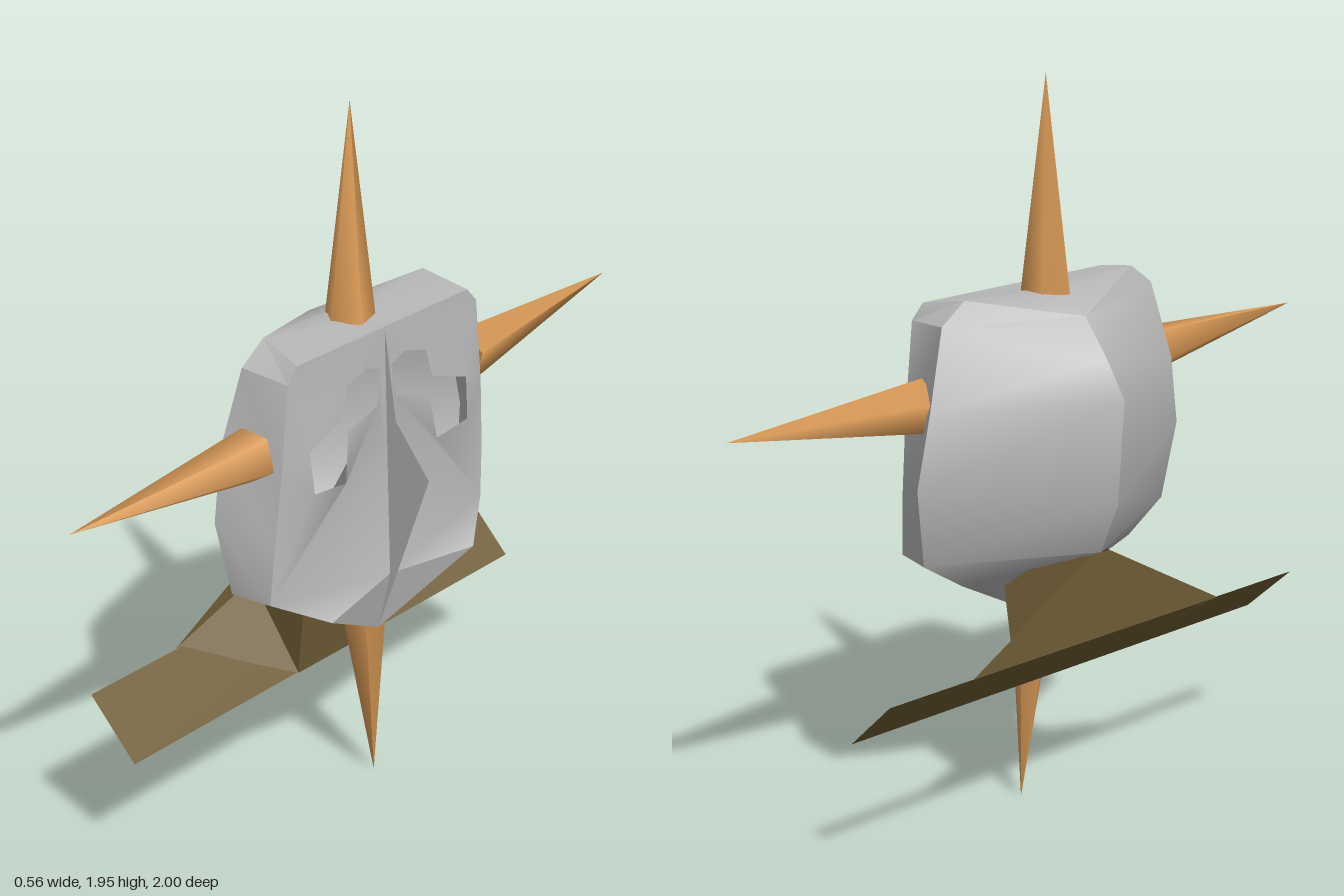
import * as THREE from 'three';
import { toCreasedNormals } from 'three/addons/utils/BufferGeometryUtils.js';

const material = (name, color) => {
  const m = new THREE.MeshStandardMaterial({ color, side: THREE.DoubleSide });
  m.name = name;
  return m;
};

// depth of the mask front at a given half width z and height y
function faceX(z, y) {
  const t = (1.4 - y) / 0.7;
  return 0.125 + 0.075 * t
    - 0.09 * t * Math.max(0, (z - 0.27) / 0.13)
    - 0.05 * t * Math.max(0, 1 - z / 0.27);
}

// surface from polygons, each a list of [x, y, z] corners fanned from the first
function fromPolygons(polygons) {
  const points = [];
  for (const p of polygons) {
    for (let i = 1; i < p.length - 1; i++) points.push(...p[0], ...p[i], ...p[i + 1]);
  }
  const g = new THREE.BufferGeometry();
  g.setAttribute('position', new THREE.Float32BufferAttribute(points, 3));
  g.computeVertexNormals();
  return g;
}

const points2 = (list) => list.map(([a, b]) => new THREE.Vector2(a, b));

// rows from crown to jaw: back ridge, widest side, front rim [z, y]
const ROWS = [
  [[-0.03, 1.40, 0], [0.04, 1.40, 0], [0, 1.40]],
  [[-0.14, 1.36, 0], [-0.01, 1.425, 0.29], [0.31, 1.40]],
  [[-0.22, 1.26, 0], [-0.01, 1.37, 0.365], [0.345, 1.36]],
  [[-0.28, 1.17, 0], [-0.03, 1.16, 0.425], [0.37, 1.12]],
  [[-0.26, 0.89, 0], [-0.02, 0.97, 0.46], [0.39, 0.92]],
  [[-0.20, 0.75, 0], [0.00, 0.76, 0.425], [0.40, 0.76]],
  [[-0.10, 0.71, 0], [0.00, 0.68, 0.30], [0.27, 0.69]],
];
const CHIN = [0.11, 0.52, 0];
const EYE = [[0.29, 1.165], [0.165, 1.21], [0.145, 1.29], [0.07, 1.31], [0.02, 1.29],
  [0.035, 1.195], [0.15, 1.17], [0.17, 1.035], [0.285, 1.05]];

// one half of the hollow shell behind the face
function shellHalf() {
  const rows = ROWS.map(([k, s, [z, y]]) => [k, s, [faceX(z, y), y, z]]);
  rows.push([[-0.02, 0.57, 0], [0.04, 0.55, 0], CHIN]);
  const quads = [];
  for (let i = 0; i < rows.length - 1; i++) {
    for (let j = 0; j < 2; j++) {
      quads.push([rows[i][j], rows[i + 1][j], rows[i + 1][j + 1], rows[i][j + 1]]);
    }
  }
  return toCreasedNormals(fromPolygons(quads), 0.7);
}

// one half of the face, with its angular eye opening
function faceHalf() {
  const rim = ROWS.map((r) => r[2]);
  const shape = new THREE.Shape(points2([...rim, [0, 0.70], [0, 1.05]].map(([z, y]) => [-z, y])));
  shape.holes.push(new THREE.Path(points2(EYE.map(([z, y]) => [-z, y]))));
  const g = new THREE.ShapeGeometry(shape);
  const p = g.attributes.position;
  for (let i = 0; i < p.count; i++) {
    const z = -p.getX(i), y = p.getY(i);
    p.setXYZ(i, faceX(z, y), y, z);
  }
  g.computeVertexNormals();
  return g;
}

export function createModel() {
  const model = new THREE.Group();
  const grey = material('mask grey', 0xb8b8b8);
  const orange = material('spike orange', 0xd99a55);
  const brown = material('collar brown', 0x6e5c35);

  const add = (name, geometry, mat) => {
    const mesh = new THREE.Mesh(geometry, mat);
    mesh.name = name;
    model.add(mesh);
    return mesh;
  };

  // mask, mirrored about z = 0
  const jaw = fromPolygons([[[faceX(0, 0.70), 0.70, 0], [faceX(0.27, 0.69), 0.69, 0.27], CHIN]]);
  for (const side of [1, -1]) {
    const tag = side > 0 ? 'Front' : 'Back';
    add('shell' + tag, shellHalf(), grey).scale.z = side;
    add('face' + tag, faceHalf(), grey).scale.z = side;
    add('jaw' + tag, jaw, grey).scale.z = side;
  }

  // thin nose ridge down the middle of the face
  const ridge = new THREE.Shape(points2([[0.125, 1.40], [0.11, 1.0], [0.11, 0.52],
    [0.28, 1.02], [0.165, 1.15]]));
  add('noseRidge', new THREE.ShapeGeometry(ridge), grey);

  // five-sided spikes: base centre, tip, radius
  const spikes = {
    topSpike: [[0.015, 1.39, 0.012], [-0.005, 1.96, -0.01], 0.068],
    bottomSpike: [[0.052, 0.59, 0], [0.045, 0.01, -0.055], 0.065],
    frontSpike: [[0.052, 1.162, 0.39], [0.068, 1.195, 1.0], 0.073],
    backSpike: [[0.045, 1.162, -0.39], [0.028, 1.195, -1.0], 0.073],
  };
  for (const [name, [base, tip, radius]] of Object.entries(spikes)) {
    const a = new THREE.Vector3(...base), b = new THREE.Vector3(...tip);
    const axis = b.clone().sub(a);
    const mesh = add(name, new THREE.ConeGeometry(radius, axis.length(), 5), orange);
    mesh.position.copy(a).add(b).multiplyScalar(0.5);
    mesh.quaternion.setFromUnitVectors(new THREE.Vector3(0, 1, 0), axis.normalize());
  }

  // slanted shoulder strip
  add('shoulderStrip', fromPolygons([
    [[-0.20, 0.52, -0.71], [-0.195, 0.52, 0.74], [-0.04, 0.38, 0.74], [-0.05, 0.38, -0.71]],
  ]), brown);

  // neck: front wall, flared sides and back
  const side = (s) => [[-0.20, 0.61, 0.16 * s], [-0.20, 0.52, 0.44 * s], [-0.04, 0.38, 0.15 * s],
    [0, 0.69, 0.16 * s], [-0.20, 0.75, 0.03 * s]];
  add('neck', fromPolygons([
    [[-0.04, 0.38, 0.15], [-0.04, 0.38, -0.15], [0, 0.69, -0.16], [0, 0.69, 0.16]],
    side(1),
    side(-1).reverse(),
    [[-0.20, 0.75, 0.03], [-0.20, 0.75, -0.03], [-0.20, 0.61, -0.16], [-0.20, 0.52, -0.44],
      [-0.20, 0.52, 0.44], [-0.20, 0.61, 0.16]],
  ]), brown);

  return model;
}
